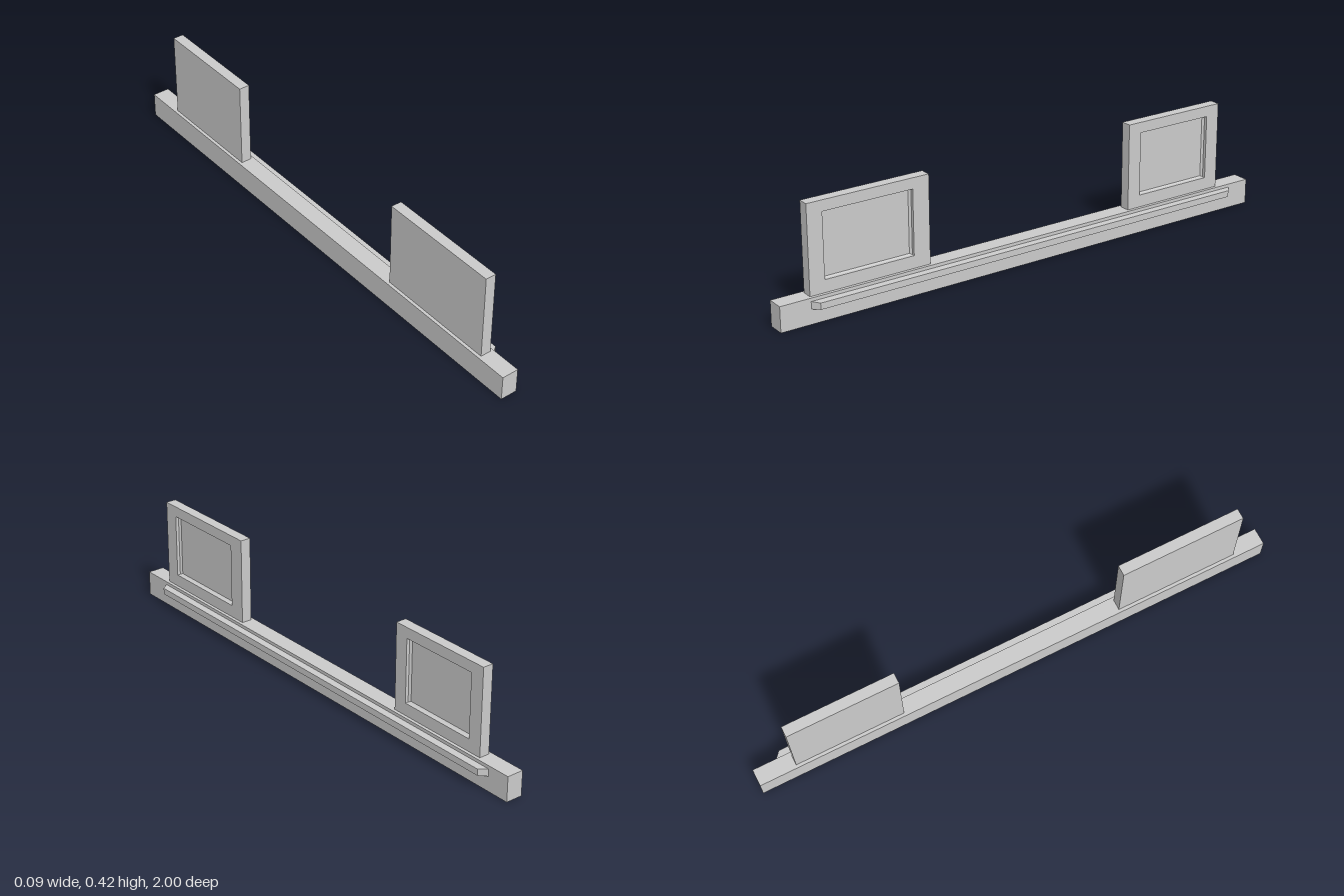
import * as THREE from 'three';

const material = new THREE.MeshStandardMaterial({ color: 0xcccccc, flatShading: true });

// Closed solid skinned over rectangles [x, y0, y1, z0, z1], from the -x cap to the +x cap
function loft(name, rings) {
  const loops = rings.map(([x, y0, y1, z0, z1]) => [
    [x, y0, z1], [x, y0, z0], [x, y1, z0], [x, y1, z1],
  ]);
  const pos = [];
  const quad = (a, b, c, d) => pos.push(...a, ...b, ...c, ...a, ...c, ...d);
  const first = loops[0];
  quad(first[3], first[2], first[1], first[0]);
  for (let r = 0; r < loops.length - 1; r++) {
    const a = loops[r], b = loops[r + 1];
    for (let i = 0; i < 4; i++) {
      const j = (i + 1) % 4;
      quad(a[i], a[j], b[j], b[i]);
    }
  }
  quad(...loops[loops.length - 1]);
  const geometry = new THREE.BufferGeometry();
  geometry.setAttribute('position', new THREE.Float32BufferAttribute(pos, 3));
  geometry.computeVertexNormals();
  const mesh = new THREE.Mesh(geometry, material);
  mesh.name = name;
  return mesh;
}

// Upright panel with a recessed, bevelled window on its +x side
function panel(name, z0, z1, w0, w1) {
  const back = -0.034, front = 0.006, y0 = 0.094, y1 = 0.42;
  const b0 = 0.14, b1 = 0.38;
  return loft(name, [
    [back, y0, y1, z0, z1],
    [front, y0, y1, z0, z1],
    [front, b0, b1, w0, w1],
    [front - 0.012, b0, b1, w0, w1],
    [front - 0.018, b0 + 0.004, b1 - 0.004, w0 + 0.008, w1 - 0.008],
  ]);
}

export function createModel() {
  const group = new THREE.Group();
  group.name = 'beamWithPanels';

  // Long base beam
  const beam = new THREE.Mesh(new THREE.BoxGeometry(0.064, 0.094, 2), material);
  beam.name = 'baseBeam';
  beam.position.set(-0.014, 0.047, 0);
  group.add(beam);

  // Two framed panels standing on the beam
  group.add(panel('frontPanel', 0.413, 0.881, 0.477, 0.823));
  group.add(panel('rearPanel', -0.857, -0.44, -0.803, -0.493));

  // Side rail with slanted ends
  group.add(loft('sideRail', [
    [0.018, 0.055, 0.082, -0.912, 0.884],
    [0.045, 0.057, 0.081, -0.889, 0.864],
  ]));

  return group;
}
